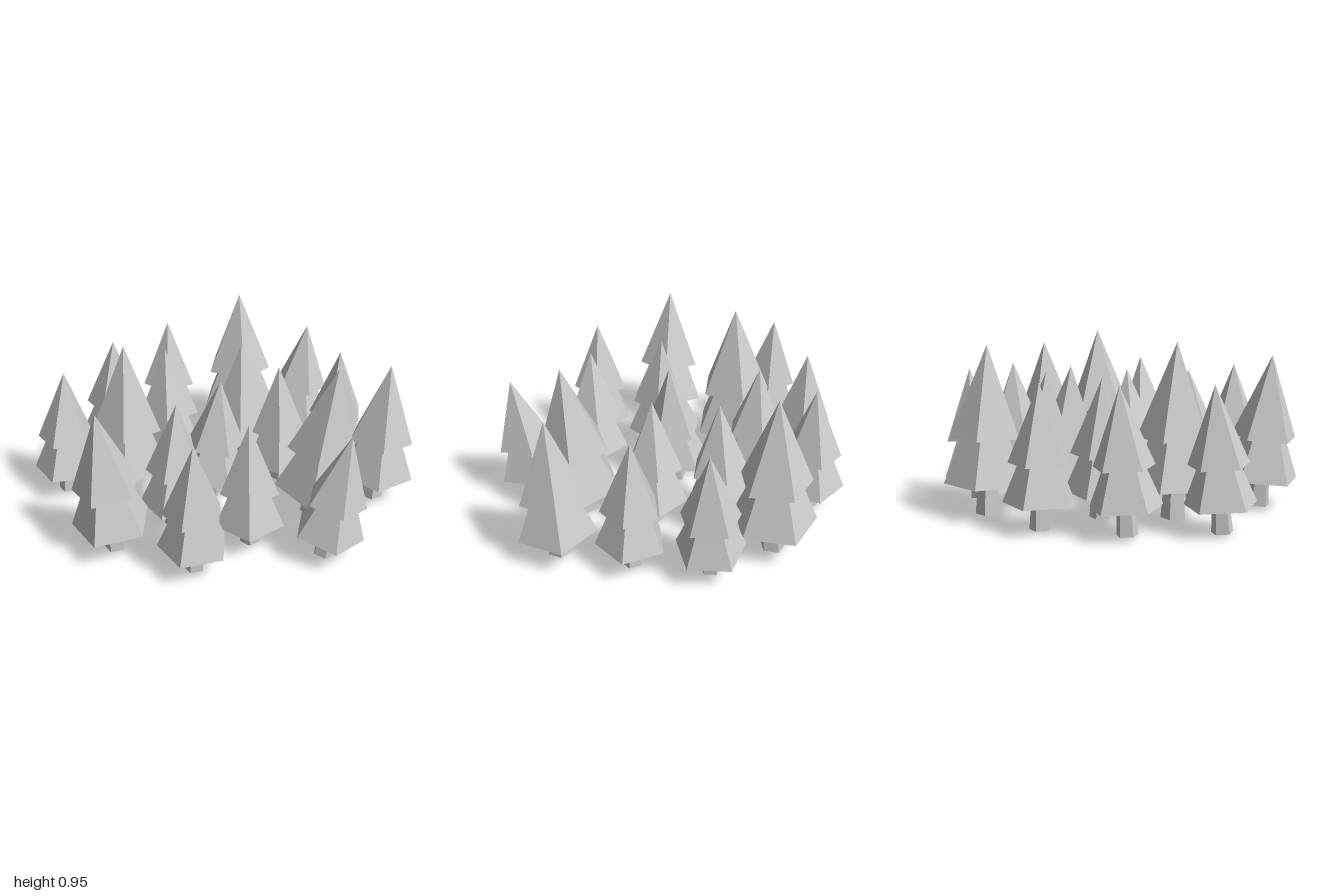
import * as THREE from 'three';

const material = new THREE.MeshStandardMaterial({ color: 0xcccccc, flatShading: true });

// Each tree: skirt centre x, z; tip x, z; turn in degrees; scale
const TREES = [
  [-0.42, -0.68, -0.39, -0.69, 9, 1],
  [0.01, -0.80, 0.01, -0.80, -9, 1],
  [0.44, -0.67, 0.44, -0.66, -21, 1.22],
  [-0.81, -0.40, -0.78, -0.425, 9, 1],
  [-0.475, -0.25, -0.48, -0.24, -9, 1.25],
  [-0.13, -0.44, -0.15, -0.455, -9, 1],
  [0.30, -0.34, 0.29, -0.325, -9, 1],
  [0.725, -0.39, 0.78, -0.39, -29, 1],
  [-0.055, 0.015, -0.02, 0.04, -38, 1],
  [0.375, 0.025, 0.355, 0.03, -9, 1],
  [0.77, 0.025, 0.77, 0.02, 15, 1],
  [-0.765, 0.25, -0.82, 0.252, 9, 1.13],
  [-0.375, 0.20, -0.345, 0.175, 9, 1],
  [-0.44, 0.605, -0.44, 0.61, 9, 1],
  [-0.07, 0.52, -0.09, 0.53, -9, 1],
  [0.395, 0.445, 0.455, 0.50, 4, 1.25],
  [0.79, 0.435, 0.83, 0.445, -9, 1.13],
  [0.26, 0.80, 0.335, 0.85, -18, 1],
];

const SKIRT_Y = 0.14, TIP_Y = 0.75;

// Five-sided tapered piece standing between two heights
function tier(name, rTop, rBottom, y0, y1, start) {
  const geometry = new THREE.CylinderGeometry(rTop, rBottom, y1 - y0, 5, 1, false, start);
  geometry.translate(0, (y0 + y1) / 2, 0);
  const mesh = new THREE.Mesh(geometry, material);
  mesh.name = name;
  return mesh;
}

// A tree of one trunk and two stacked skirts, leaning towards its tip
function makeTree([cx, cz, tipX, tipZ, turn, scale]) {
  const tree = new THREE.Group();
  const start = Math.PI - THREE.MathUtils.degToRad(turn);
  tree.add(
    tier('trunk', 0.042, 0.058, 0, 0.2, start),
    tier('lowerBranches', 0.067, 0.195, SKIRT_Y, 0.45, start),
    tier('upperBranches', 0, 0.165, 0.345, TIP_Y, start),
  );
  const dx = tipX - cx, dz = tipZ - cz;
  const back = SKIRT_Y / (TIP_Y - SKIRT_Y);
  const axis = new THREE.Vector3(dx, (TIP_Y - SKIRT_Y) * scale, dz).normalize();
  tree.quaternion.setFromUnitVectors(new THREE.Vector3(0, 1, 0), axis);
  tree.position.set(cx - dx * back, 0, cz - dz * back);
  tree.scale.setScalar(scale);
  return tree;
}

export function createModel() {
  const forest = new THREE.Group();
  forest.name = 'forest';
  TREES.forEach((spec, i) => {
    const tree = makeTree(spec);
    tree.name = `tree${i + 1}`;
    forest.add(tree);
  });
  return forest;
}
